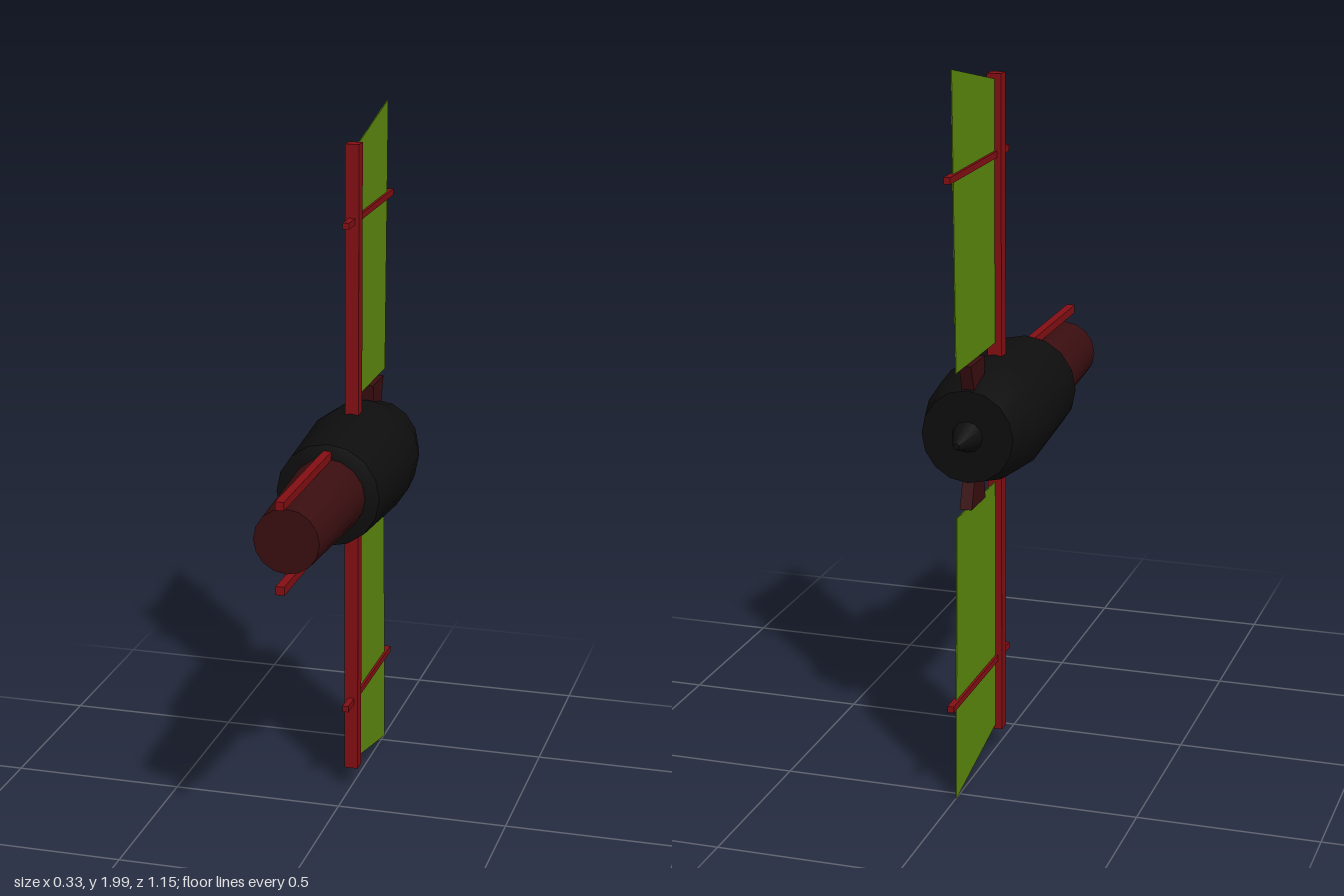
import * as THREE from 'three';
import { toCreasedNormals } from 'three/addons/utils/BufferGeometryUtils.js';

const MID = 1.003; // height of the body axis

const paint = (color, side = THREE.FrontSide) => new THREE.MeshStandardMaterial({ color, side });

export function createModel() {
  const model = new THREE.Group();
  const black = paint(0x0e0e0e);
  const darkRed = paint(0x3a0e10);
  const red = paint(0x840f13);
  const green = paint(0x5e8a0e, THREE.DoubleSide);

  const add = (name, geometry, material, parent) => {
    const mesh = new THREE.Mesh(geometry, material);
    mesh.name = name;
    parent.add(mesh);
    return mesh;
  };

  // Turned part along z, from [radius, z] pairs running back to front
  const turned = (points, sides) => {
    const g = new THREE.LatheGeometry(points.map(([r, z]) => new THREE.Vector2(r, z)), sides);
    return toCreasedNormals(g.rotateX(Math.PI / 2), 0.5);
  };

  // Flat outline in [z, y] pairs, extruded symmetrically across x
  const slab = (points, thickness) => {
    const shape = new THREE.Shape(points.map(([z, y]) => new THREE.Vector2(-z, y)));
    const g = new THREE.ExtrudeGeometry(shape, { depth: thickness, bevelEnabled: false });
    return g.translate(0, 0, -thickness / 2).rotateY(Math.PI / 2);
  };

  // Central body
  const core = new THREE.Group();
  core.name = 'body';
  core.position.y = MID;
  model.add(core);
  add('hull', turned([[0, -0.42], [0.128, -0.42], [0.157, -0.31], [0.167, -0.2],
    [0.148, 0.112], [0.11, 0.12], [0, 0.12]], 16), black, core);
  add('tailCone', turned([[0, -0.512], [0.009, -0.512], [0.043, -0.42], [0, -0.42]], 12), black, core);
  add('frontBarrel', turned([[0, 0.1], [0.11, 0.1], [0.091, 0.515], [0, 0.515]], 16), darkRed, core);

  // Upper and lower halves are mirrored about the body axis
  for (const [half, s] of [['upper', 1], ['lower', -1]]) {
    const wing = new THREE.Group();
    wing.name = half + 'Wing';
    wing.position.y = MID;
    model.add(wing);
    const place = (list) => list.map(([z, y]) => [z, y * s]);

    add('mast', new THREE.BoxGeometry(0.04, 0.936, 0.04), red, wing).position.set(0, s * 0.468, -0.16);
    add('crossBar', new THREE.BoxGeometry(0.018, 0.018, 0.497), red, wing).position.set(0, s * 0.72, -0.3235);
    add('frontRail', new THREE.BoxGeometry(0.024, 0.024, 0.48), red, wing).position.set(0, s * 0.117, 0.334);

    // Solar panel, wider towards its tip
    add('panel', slab(place([[-0.165, 0.199], [-0.512, 0.199], [-0.532, 0.997], [-0.165, 0.919]]), 0.003), green, wing);

    // Tapered strut joining the hull to the panel
    add('strut', slab(place([[-0.335, 0.05], [-0.385, 0.05], [-0.435, 0.199], [-0.316, 0.199]]), 0.034), darkRed, wing);
  }
  return model;
}
